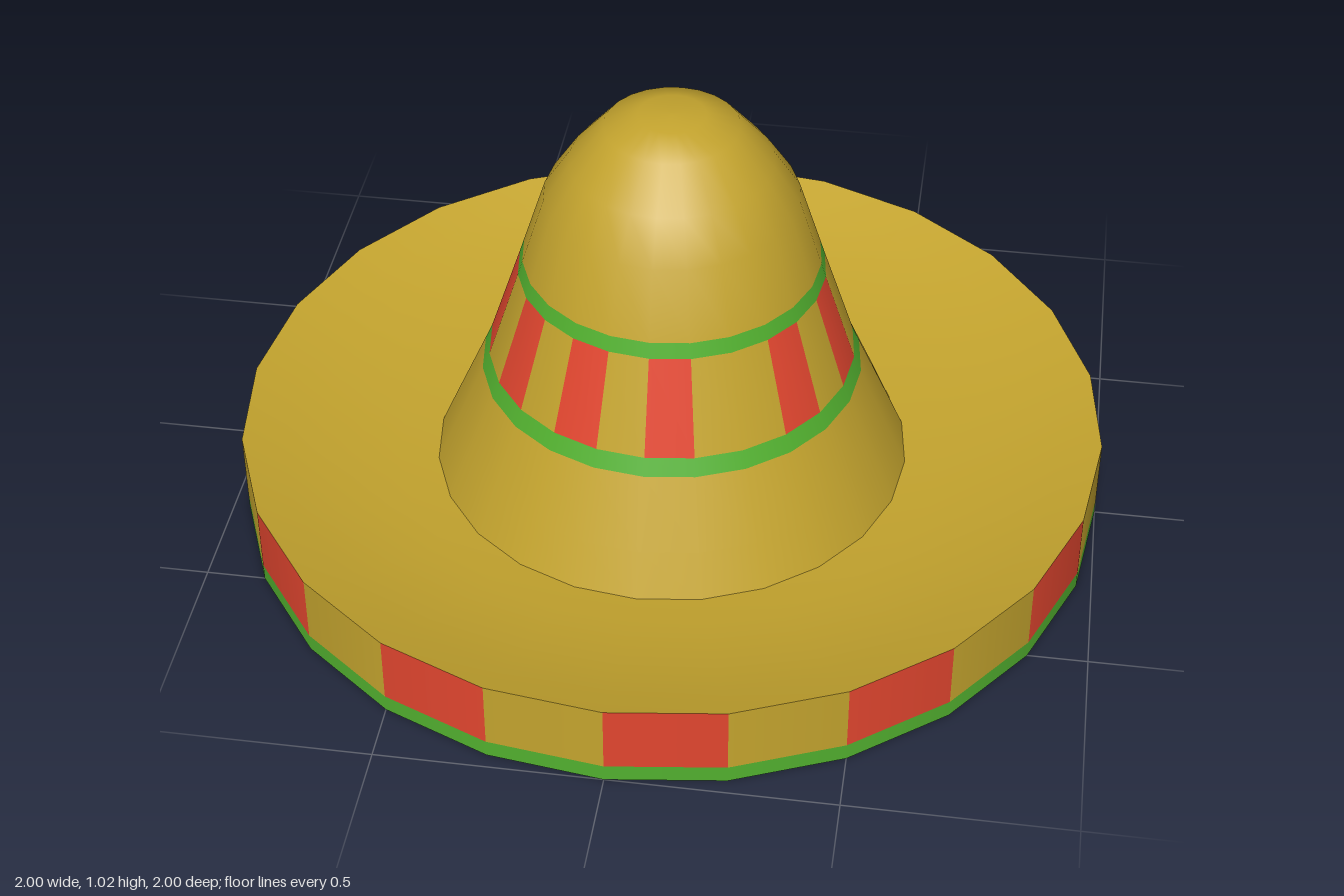
import * as THREE from 'three';

const SIDES = 24;
const STEP = (Math.PI * 2) / SIDES;

const straw = new THREE.MeshStandardMaterial({ color: 0xc4a42e });
const red = new THREE.MeshStandardMaterial({ color: 0xe2462f });
const green = new THREE.MeshStandardMaterial({ color: 0x52b02f });

// Turned surface from [radius, height] pairs, optionally only part of the way round
function turned(name, profile, material, start = 0, count = SIDES) {
  const points = profile.map(([r, y]) => new THREE.Vector2(r, y));
  const geometry = new THREE.LatheGeometry(points, count, start * STEP, count * STEP);
  const mesh = new THREE.Mesh(geometry, material);
  mesh.name = name;
  return mesh;
}

// Ring of one-side-wide panels, red where isRed(i) holds and straw elsewhere
function stripedRing(name, profile, isRed) {
  const ring = new THREE.Group();
  ring.name = name;
  for (let i = 0; i < SIDES; i++) {
    const stripe = isRed(i);
    ring.add(turned(stripe ? 'redStripe' : 'strawStripe', profile, stripe ? red : straw, i, 1));
  }
  return ring;
}

export function createModel() {
  const hat = new THREE.Group();
  hat.name = 'sombrero';

  // Brim: flat underside, green edging, striped rim and dished top
  const brim = new THREE.Group();
  brim.name = 'brim';
  const dish = [];
  for (let i = 0; i <= 5; i++) {
    const t = 1 - i / 5;
    dish.push([0.55 + 0.45 * t, 0.1 + 0.04 * t + 0.06 * t * t]);
  }
  brim.add(
    turned('brimUnderside', [[0, 0], [1, 0]], straw),
    turned('brimEdging', [[1, 0], [1, 0.04]], green),
    stripedRing('brimStripes', [[1, 0.04], [1, 0.2]], (i) => i % 2 === 0),
    turned('brimTop', dish, straw)
  );

  // Crown: flared base, two green bands around a striped ring, rounded top
  const crown = new THREE.Group();
  crown.name = 'crown';
  const redPanels = [0, 3, 5, 7, 9, 11, 13, 14, 16, 18, 20, 22];
  crown.add(
    turned('crownBase', [[0.55, 0.1], [0.507, 0.2], [0.437, 0.36]], straw),
    turned('lowerBand', [[0.437, 0.36], [0.42, 0.4]], green),
    stripedRing('crownStripes', [[0.42, 0.4], [0.348, 0.62]], (i) => redPanels.includes(i)),
    turned('upperBand', [[0.348, 0.62], [0.337, 0.655]], green),
    turned('crownTop', [
      [0.337, 0.655], [0.286, 0.815], [0.227, 0.905], [0.15, 0.995], [0.075, 1.023], [0, 1.025],
    ], straw)
  );

  hat.add(brim, crown);
  return hat;
}
